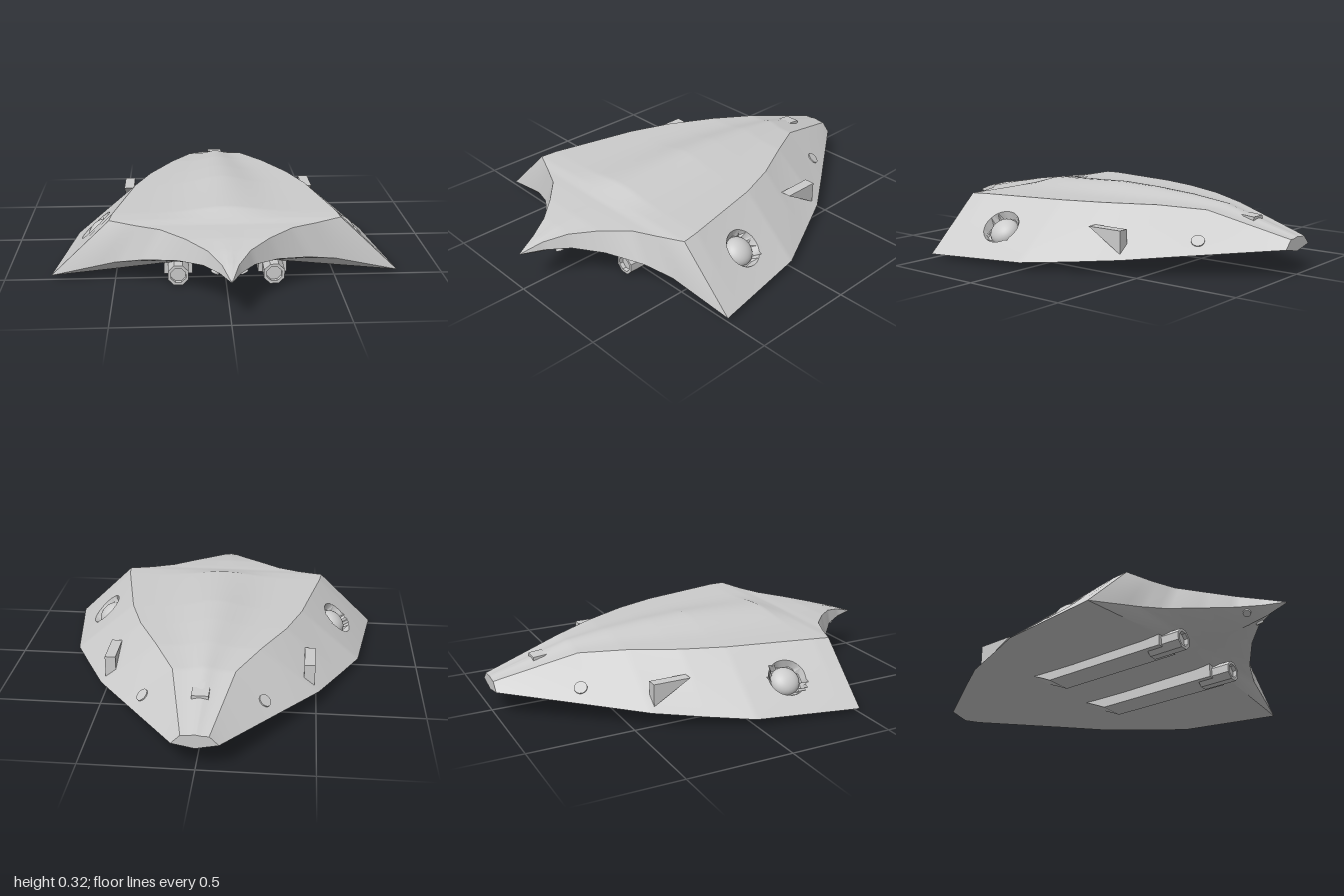
import * as THREE from 'three';
import { toCreasedNormals } from 'three/addons/utils/BufferGeometryUtils.js';

const grey = new THREE.MeshStandardMaterial({ color: 0xcccccc, side: THREE.DoubleSide });

// Hull stations: z, crown y, shoulder x, shoulder y, wing edge x, wing edge y, keel y
const STATIONS = [
  [-1, 0.17, 0.06, 0.165, 0.1, 0.125, 0.105],
  [-0.62, 0.28, 0.14, 0.265, 0.37, 0.09, 0.09],
  [-0.42, 0.303, 0.24, 0.28, 0.51, 0.07, 0.085],
  [-0.2, 0.318, 0.35, 0.282, 0.615, 0.05, 0.08],
  [0, 0.325, 0.42, 0.283, 0.71, 0.035, 0.08],
  [0.42, 0.31, 0.51, 0.283, 0.777, 0.022, 0.09],
  [0.5, 0.285, 0.52, 0.28, 0.79, 0.02, 0.1],
  [0.55, 0.272, 0.4, 0.272, 0.5, 0.1, 0.108],
  [0.6, 0.27, 0.29, 0.27, 0.37, 0.13, 0.113],
  [0.7, 0.264, 0.18, 0.262, 0.22, 0.165, 0.124],
  [0.8, 0.25, 0.09, 0.247, 0.11, 0.183, 0.137],
  [0.9, 0.228, 0.035, 0.224, 0.045, 0.188, 0.155],
  [1, 0.192, 0.002, 0.191, 0.003, 0.19, 0.187],
];

// Round socket sunk into each flank
const SOCKET = new THREE.Vector3(0.6, 0.152, 0.22);
const SOCKET_AXIS = new THREE.Vector3(0.65, 0.75, -0.08).normalize();
const SOCKET_R = 0.09;

function sinkSocket(p) {
  const d = p.clone().sub(SOCKET);
  const h = d.dot(SOCKET_AXIS);
  const flat = d.addScaledVector(SOCKET_AXIS, -h);
  const r = flat.length();
  if (Math.abs(h) > 0.045 || r > SOCKET_R + 0.008) return p;
  if (r > SOCKET_R - 0.008) return p.addScaledVector(flat, SOCKET_R / r - 1);
  return p.addScaledVector(SOCKET_AXIS, -0.035);
}

// Half cross-section from the crown, over shoulder and wing edge, to the keel
function halfSection([z, top, sx, sy, ex, ey, keel]) {
  const { lerp } = THREE.MathUtils;
  const pts = [];
  for (let i = 0; i < 12; i++) {
    const u = i / 12;
    pts.push(new THREE.Vector3(sx * u, sy + (top - sy) * Math.exp(-((u / 0.35) ** 2)), z));
  }
  for (let i = 0; i < 26; i++) {
    pts.push(sinkSocket(new THREE.Vector3(lerp(sx, ex, i / 26), lerp(sy, ey, i / 26), z)));
  }
  for (let i = 0; i <= 10; i++) {
    pts.push(new THREE.Vector3(lerp(ex, 0, i / 10), lerp(ey, keel, i / 10), z));
  }
  return pts;
}

function hullGeometry() {
  const rows = [];
  STATIONS.forEach((s, i) => {
    const next = STATIONS[i + 1];
    if (!next) return rows.push(s);
    const n = Math.ceil((next[0] - s[0]) / 0.016);
    for (let k = 0; k < n; k++) rows.push(s.map((v, j) => v + (next[j] - v) * (k / n)));
  });
  const pos = [], index = [];
  let ring = 0;
  for (const row of rows) {
    const half = halfSection(row);
    const mirrored = half.slice(1, -1).reverse().map((p) => new THREE.Vector3(-p.x, p.y, p.z));
    const loop = [...half, ...mirrored];
    ring = loop.length;
    loop.forEach((p) => pos.push(p.x, p.y, p.z));
  }
  for (let i = 0; i < rows.length - 1; i++) {
    for (let j = 0; j < ring; j++) {
      const a = i * ring + j, b = i * ring + ((j + 1) % ring);
      index.push(a, a + ring, b, b, a + ring, b + ring);
    }
  }
  // flat stern cap
  const centre = pos.length / 3;
  pos.push(0, 0.135, -1);
  for (let j = 0; j < ring; j++) index.push(centre, j, (j + 1) % ring);
  const g = new THREE.BufferGeometry();
  g.setAttribute('position', new THREE.Float32BufferAttribute(pos, 3));
  g.setIndex(index);
  return toCreasedNormals(g, 0.5);
}

// Side profile of (z, y) points, extruded across x
function profileGeometry(points, x, width) {
  const shape = new THREE.Shape(points.map(([z, y]) => new THREE.Vector2(z, y)));
  return new THREE.ExtrudeGeometry(shape, { depth: width, bevelEnabled: false })
    .rotateY(-Math.PI / 2)
    .translate(x + width / 2, 0, 0);
}

function add(parent, name, geometry) {
  const mesh = new THREE.Mesh(geometry, grey);
  mesh.name = name;
  parent.add(mesh);
  return mesh;
}

// Turn a part so its y axis follows the given direction
function aim(mesh, position, direction) {
  mesh.position.copy(position);
  mesh.quaternion.setFromUnitVectors(new THREE.Vector3(0, 1, 0), direction.clone().normalize());
}

export function createModel() {
  const model = new THREE.Group();
  model.name = 'wedgeShip';
  add(model, 'hull', hullGeometry());

  // small scoop on the rear spine
  add(model, 'spineScoop', profileGeometry([[-0.735, 0.244], [-0.8, 0.238], [-0.8, 0.2]], 0, 0.075));

  for (const side of [1, -1]) {
    const tag = side > 0 ? 'left' : 'right';
    const v = (x, y, z) => new THREE.Vector3(side * x, y, z);

    // domed eye resting in the socket
    const dome = add(model, tag + 'Dome', new THREE.SphereGeometry(0.07, 24, 16).scale(1, 0.7, 1));
    const seat = SOCKET.clone().addScaledVector(SOCKET_AXIS, -0.033);
    aim(dome, v(seat.x, seat.y, seat.z), v(SOCKET_AXIS.x, SOCKET_AXIS.y, SOCKET_AXIS.z));

    // round ports on the rear flank and under the nose
    const port = add(model, tag + 'RearPort', new THREE.CylinderGeometry(0.03, 0.03, 0.012, 20));
    aim(port, v(0.27, 0.148, -0.66), v(0.57, 0.75, -0.33));
    const nosePort = add(model, tag + 'NosePort', new THREE.CylinderGeometry(0.018, 0.018, 0.012, 16));
    aim(nosePort, v(0.06, 0.166, 0.83), v(0.45, -0.87, 0.15));

    // flank fin
    add(model, tag + 'Fin', profileGeometry([[-0.22, 0.195], [-0.4, 0.195], [-0.4, 0.09]], side * 0.465, 0.05));

    // gun pod with an eight-sided hollow barrel
    const pod = new THREE.Group();
    pod.name = tag + 'GunPod';
    model.add(pod);
    add(pod, 'podBody', profileGeometry(
      [[0.5, 0.02], [0.5, 0.095], [-0.3, 0.095], [-0.18, 0.04], [-0.14, 0.02]], side * 0.215, 0.13));
    const bore = [[0.05, 0], [0.05, 0.17], [0.036, 0.17], [0.036, 0.15], [0, 0.15]];
    const barrel = new THREE.LatheGeometry(bore.map(([r, y]) => new THREE.Vector2(r, y)), 8, Math.PI / 8);
    barrel.rotateX(Math.PI / 2).translate(side * 0.215, 0.047, 0.42);
    add(pod, 'barrel', toCreasedNormals(barrel, 0.4));
  }
  return model;
}
